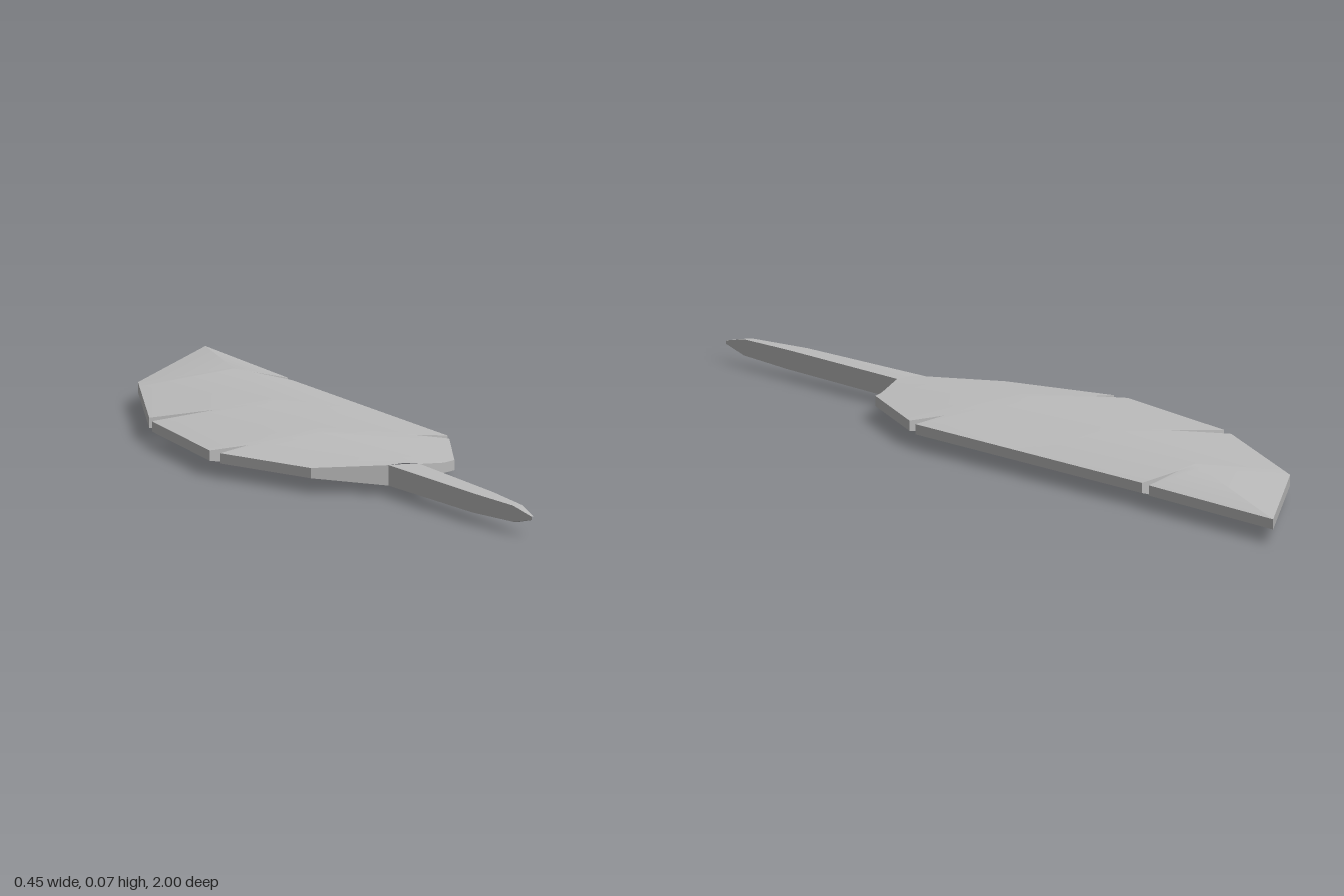
import * as THREE from 'three';

const MID = 0.035; // height of the feather's middle plane

// linear lookup in a list of [z, value] pairs
function at(list, z) {
  for (let i = 1; i < list.length; i++) {
    const [z0, v0] = list[i - 1], [z1, v1] = list[i];
    if (z <= z1) return v0 + (v1 - v0) * (z - z0) / (z1 - z0);
  }
  return list[list.length - 1][1];
}

// rows of three points [x, z, halfThickness] -> named meshes for both faces and the rim
function blade(name, rows, material) {
  const group = new THREE.Group();
  group.name = name;
  const surface = (part, positions, index, flat) => {
    let geo = new THREE.BufferGeometry();
    geo.setAttribute('position', new THREE.Float32BufferAttribute(positions, 3));
    geo.setIndex(index);
    if (flat) geo = geo.toNonIndexed();
    geo.computeVertexNormals();
    const mesh = new THREE.Mesh(geo, material);
    mesh.name = part;
    group.add(mesh);
  };
  const quad = (a, b, c, d, flip) => flip ? [a, c, b, a, d, c] : [a, b, c, a, c, d];

  // upper and lower faces
  for (const side of [1, -1]) {
    const pos = [], idx = [];
    rows.forEach((row, i) => {
      for (const [x, z, h] of row) pos.push(x, MID + side * h, z);
      if (!i) return;
      for (let j = 0; j < 2; j++) {
        const a = (i - 1) * 3 + j, b = i * 3 + j;
        idx.push(...quad(a, b, b + 1, a + 1, side < 0));
      }
    });
    surface(name + (side > 0 ? 'Top' : 'Underside'), pos, idx, false);
  }

  // thin rim walls
  for (const col of [0, 2]) {
    const pos = [], idx = [];
    rows.forEach((row, i) => {
      const [x, z, h] = row[col];
      pos.push(x, MID + h, z, x, MID - h, z);
      if (i) idx.push(...quad(2 * i - 2, 2 * i - 1, 2 * i + 1, 2 * i, col === 2));
    });
    surface(name + (col ? 'LeftRim' : 'RightRim'), pos, idx, true);
  }
  return group;
}

export function createModel() {
  const grey = new THREE.MeshStandardMaterial({ color: 0xbcbcbc });
  grey.name = 'feather grey';
  const model = new THREE.Group();
  model.name = 'feather';

  // vane outline with its slits, as [z, x]
  const low = [[-1, 0.085], [-0.63, -0.135], [-0.23, -0.222], [-0.21, -0.11], [-0.19, -0.228],
    [0.16, -0.218], [0.167, -0.15], [0.195, -0.208], [0.4, -0.1], [0.46, 0.024]];
  const high = [[-1, 0.085], [-0.61, 0.13], [-0.587, 0.06], [-0.583, 0.13], [0.1, 0.226],
    [0.12, 0.16], [0.135, 0.22], [0.375, 0.165], [0.46, 0.08]];
  const slits = [-0.21, 0.167, -0.587, 0.12];

  // central ridge: sideways bend and half thickness
  const ridge = [[-1, 0.085], [-0.58, 0.025], [0.15, -0.015], [0.46, 0.052]];
  const thick = [[-1, 0.009], [-0.58, 0.034], [0.15, 0.034], [0.46, 0.021]];
  const zs = [...new Set([...low, ...high, ...ridge].map(p => p[0]))].sort((a, b) => a - b);

  const vane = zs.map(z => {
    const mid = at(ridge, z), t = at(thick, z);
    const edge = outline => {
      const x = at(outline, z);
      let h = z > 0.4 ? 0.009 + 0.009 * (z - 0.4) / 0.06 : 0.009;
      // slit ends lie further up the slope
      if (slits.includes(z) && outline.some(p => p[0] === z)) {
        const full = at(outline.filter(p => !slits.includes(p[0])), z);
        h = t + (h - t) * (x - mid) / (full - mid);
      }
      return [x, z, h];
    };
    return [edge(low), [mid, z, t], edge(high)];
  });
  model.add(blade('vane', vane, grey));

  // quill: [z, low x, high x, half thickness]
  const quill = [[0.46, 0.024, 0.08, 0.019], [0.8, 0.083, 0.121, 0.018],
    [0.94, 0.119, 0.136, 0.015], [1, 0.137, 0.141, 0.003]]
    .map(([z, a, b, h]) => [[a, z, h * 0.95], [(a + b) / 2, z, h], [b, z, h * 0.95]]);
  model.add(blade('quill', quill, grey));
  return model;
}
